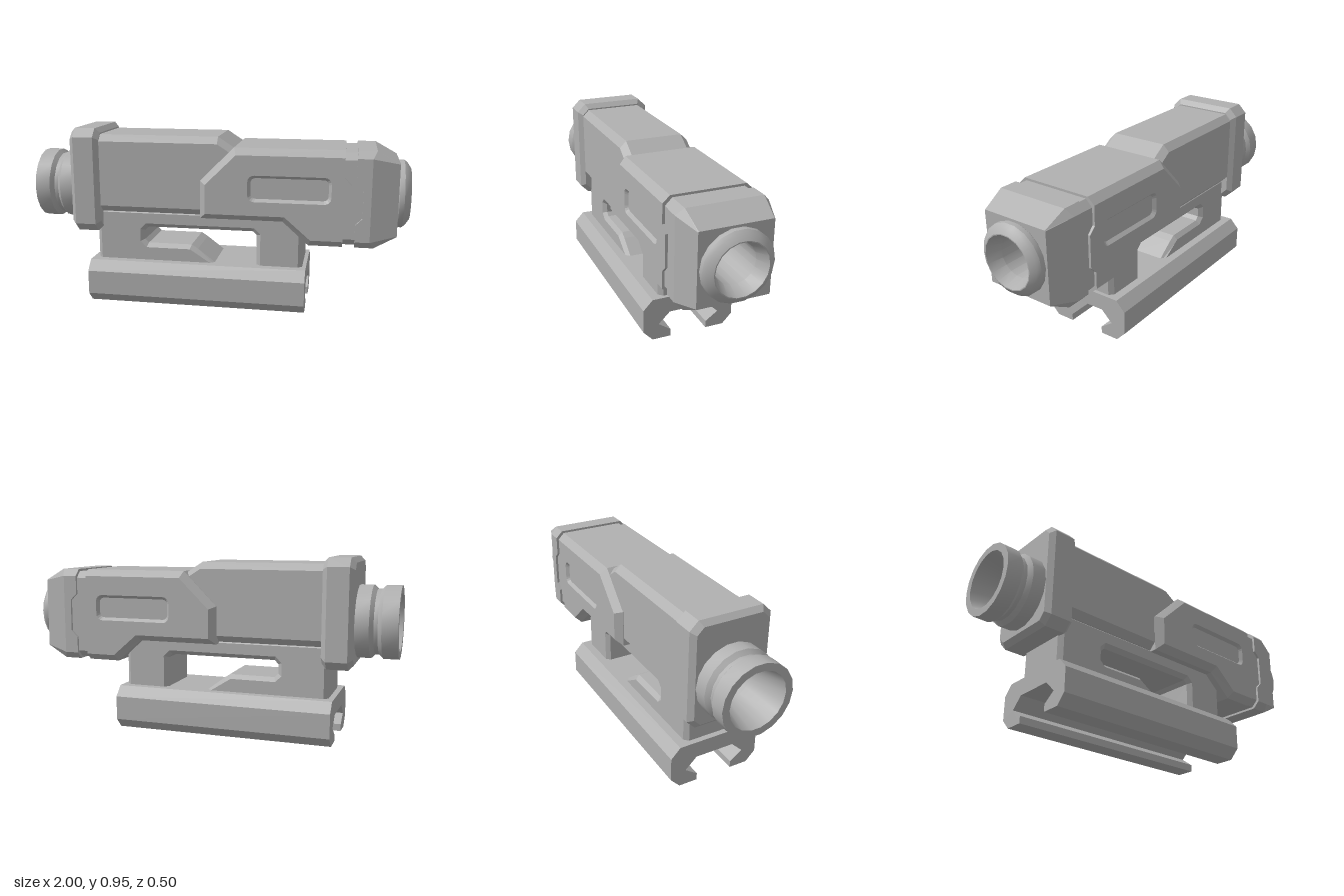
import * as THREE from 'three';
import { toCreasedNormals } from 'three/addons/utils/BufferGeometryUtils.js';

const V = (x, y, z) => new THREE.Vector3(x, y, z);
const V2 = ([x, y]) => new THREE.Vector2(x, y);
const AXIS_Y = 0.622; // height of the optical axis

// Quads between two loops of equal length
function strip(A, B) {
  return A.flatMap((a, i) => {
    const j = (i + 1) % A.length;
    return [a, A[j], B[j], a, B[j], B[i]];
  });
}

// Flat fill of a 2D loop with holes, placed in space by a function
function fill(loop, holes, place) {
  const contour = loop.map(V2), inner = holes.map((h) => h.map(V2));
  const all = [...contour, ...inner.flat()].map((p) => place(p.x, p.y));
  return THREE.ShapeUtils.triangulateShape(contour, inner).flatMap((f) => f.map((i) => all[i]));
}

const flip = (tris) => [...tris].reverse();
const mirrorZ = (tris) => flip(tris).map((p) => V(p.x, p.y, -p.z));

function facets(tris) {
  const g = new THREE.BufferGeometry().setFromPoints(tris);
  g.computeVertexNormals();
  return g;
}

// Chamfered rectangle across the x axis; dx shifts its side corners back
function section(x, y0, y1, h, c, dx = 0) {
  const k = h - c, s = x - dx;
  return [V(x, y0, k), V(x, y0, -k), V(s, y0 + c, -h), V(s, y1 - c, -h),
    V(x, y1, -k), V(x, y1, k), V(s, y1 - c, h), V(s, y0 + c, h)];
}

function loft(sections) {
  return sections.slice(1).flatMap((s, i) => strip(sections[i], s));
}

// End cap of a section, open around the bore, facing +x
function boreCap(s) {
  const hole = Array.from({ length: 16 }, (_, i) => {
    const a = -i * Math.PI / 8;
    return [0.13 * Math.cos(a), AXIS_Y + 0.13 * Math.sin(a)];
  });
  return fill(s.map((p) => [-p.z, p.y]), [hole], (u, v) => V(s[0].x, v, -u));
}

// Rounded rectangle loop, counter-clockwise
function roundLoop(x0, x1, y0, y1, r) {
  const corners = [[x1 - r, y0 + r, -1], [x1 - r, y1 - r, 0], [x0 + r, y1 - r, 1], [x0 + r, y0 + r, 2]];
  return corners.flatMap(([cx, cy, q]) => [0, 1, 2, 3, 4].map((i) => {
    const a = (q + i / 4) * Math.PI / 2;
    return [cx + r * Math.cos(a), cy + r * Math.sin(a)];
  }));
}

// Side shell: straight wall, then chamfer from outline to face
function cheek(outline, face, holes = []) {
  const at = (loop, z) => loop.map(([x, y]) => V(x, y, z));
  return [
    ...strip(at(outline, 0.12), at(outline, 0.193)),
    ...strip(at(outline, 0.193), at(face, 0.23)),
    ...fill(face, holes, (x, y) => V(x, y, 0.23)),
  ];
}

// Outline in x and y, extruded evenly about z = 0
function slab(points, depth, bevel = 0) {
  const g = new THREE.ExtrudeGeometry(new THREE.Shape(points.map(V2)), {
    depth: depth - 2 * bevel, bevelEnabled: bevel > 0, bevelSegments: 1,
    bevelSize: bevel, bevelThickness: bevel, bevelOffset: -bevel,
  });
  return g.translate(0, 0, -depth / 2 + bevel);
}

export function createModel() {
  const model = new THREE.Group();
  model.name = 'railSight';
  const grey = new THREE.MeshStandardMaterial({ color: 0xb0b0b0 });
  grey.name = 'grey';
  const add = (name, geometry) => {
    const mesh = new THREE.Mesh(geometry, grey);
    mesh.name = name;
    model.add(mesh);
  };

  // Rail clamp with a dovetail channel
  const half = [[0.1, 0], [0.2, 0], [0.25, 0.053], [0.25, 0.18], [0.2, 0.233]];
  const channel = [[0.105, 0.145], [0.167, 0.085], [0.1, 0.038]];
  const neg = (pts) => [...pts].reverse().map(([z, y]) => [-z, y]);
  add('railClamp', slab([...half, ...neg(half), ...neg(channel), ...channel], 1.175)
    .rotateY(Math.PI / 2).translate(-0.107, 0, 0));

  // Riser with its window
  add('riser', slab([
    [-0.665, 0.19], [0.045, 0.19], [-0.105, 0.303], [-0.14, 0.325], [-0.38, 0.325],
    [-0.4, 0.345], [-0.4, 0.395], [-0.38, 0.415], [0.195, 0.415], [0.215, 0.395],
    [0.215, 0.19], [0.46, 0.19], [0.46, 0.515], [-0.665, 0.515],
  ], 0.31, 0.022));

  // Rear housing, sloping down into the front housing
  add('rearHousing', facets(loft([
    section(-0.66, 0.5, 0.918, 0.19, 0.035), section(0.01, 0.5, 0.918, 0.19, 0.035),
    section(0.1, 0.5, 0.86, 0.19, 0.035), section(0.25, 0.5, 0.86, 0.19, 0.035),
  ])));

  // Collar at the rear
  const collar = [
    section(-0.79, 0.415, 0.925, 0.19, 0.035), section(-0.765, 0.39, 0.95, 0.215, 0.045),
    section(-0.655, 0.39, 0.95, 0.215, 0.045), section(-0.63, 0.415, 0.925, 0.19, 0.035),
  ];
  add('collar', facets([...loft(collar), ...flip(boreCap(collar[0])), ...boreCap(collar[3])]));

  // Front housing sides with a shallow slot
  const step = [[0.665, 0.495], [0.7, 0.53], [0.7, 0.7], [0.665, 0.735]];
  const slotRim = roundLoop(0.175, 0.603, 0.595, 0.733, 0.035);
  const slotFloor = roundLoop(0.19, 0.588, 0.61, 0.718, 0.025);
  const side = cheek(
    [[-0.08, 0.49], [0.355, 0.49], [0.49, 0.37], [0.665, 0.37], ...step, [0.665, 0.87], [0.1, 0.87], [-0.08, 0.69]],
    [[-0.047, 0.522], [0.367, 0.522], [0.502, 0.405], [0.665, 0.405], ...step, [0.665, 0.835], [0.115, 0.835], [-0.047, 0.676]],
    [slotRim]);
  const slot = [
    ...strip(slotRim.map(([x, y]) => V(x, y, 0.23)), slotFloor.map(([x, y]) => V(x, y, 0.213))),
    ...fill(slotFloor, [], (x, y) => V(x, y, 0.213)),
  ];

  // Nose sides, stepped to follow the front housing
  const back = [[0.725, 0.735], [0.76, 0.7], [0.76, 0.53], [0.725, 0.495]];
  const noseSide = cheek(
    [[0.725, 0.37], [0.82, 0.37], [0.82, 0.87], [0.725, 0.87], ...back],
    [[0.725, 0.407], [0.8, 0.407], [0.8, 0.833], [0.725, 0.833], ...back]);

  for (const [label, side2] of [['left', (t) => t], ['right', mirrorZ]]) {
    add(label + 'FrontHousing', facets(side2(side)));
    add(label + 'Slot', facets(side2(slot)));
    add(label + 'Nose', facets(side2(noseSide)));
  }

  // Top and bottom plates joining the sides
  const plate = (x0, x1, y0, y1) => slab([[x0, y0], [x1, y0], [x1, y1], [x0, y1]], 0.24);
  add('frontHousingTop', plate(0.1, 0.665, 0.74, 0.87));
  add('frontHousingBottom', slab([[-0.08, 0.49], [0.355, 0.49], [0.49, 0.37], [0.665, 0.37], [0.665, 0.51], [-0.08, 0.51]], 0.24));
  add('noseTop', plate(0.725, 0.82, 0.74, 0.87));
  add('noseBottom', plate(0.725, 0.82, 0.37, 0.5));

  // Groove floor between front housing and nose
  add('grooveFloor', facets(loft([
    section(0.6, 0.382, 0.858, 0.217, 0.035), section(0.79, 0.382, 0.858, 0.217, 0.035),
  ])));

  // Tapered nose end
  const noseEnd = section(0.935, 0.432, 0.807, 0.184, 0.003);
  add('noseTaper', facets([
    ...loft([section(0.82, 0.37, 0.87, 0.23, 0.037, 0.02), noseEnd]), ...boreCap(noseEnd),
  ]));

  // Lens rim, through bore and grooved eyepiece in one turning
  const profile = [
    [0.165, 0.925], [0.178, 0.94], [0.178, 0.965], [0.165, 0.982], [0.138, 1], [0.133, 1],
    [0.105, 0.93], [0.105, -0.8], [0.15, -1], [0.188, -1], [0.188, -0.92],
    [0.168, -0.9], [0.168, -0.88], [0.188, -0.86], [0.188, -0.77],
  ];
  const tube = new THREE.LatheGeometry(profile.map(V2), 18);
  tube.rotateZ(-Math.PI / 2).translate(0, AXIS_Y, 0);
  add('opticTube', toCreasedNormals(tube, 0.45));

  return model;
}
